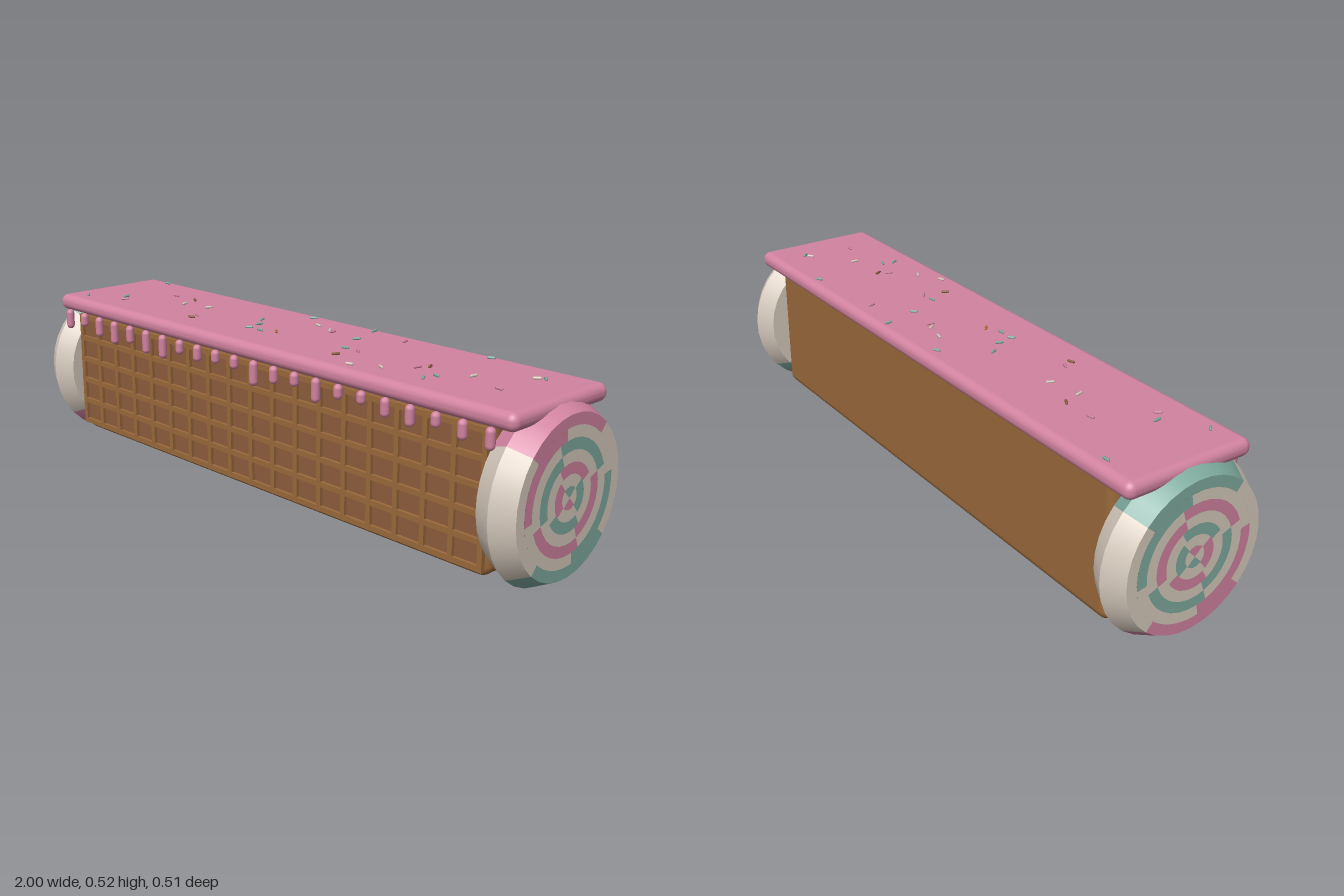
import * as THREE from 'three';
import { mergeGeometries } from 'three/addons/utils/BufferGeometryUtils.js';
import { RoundedBoxGeometry } from 'three/addons/geometries/RoundedBoxGeometry.js';

const material = (name, color) => {
  const m = new THREE.MeshStandardMaterial({ color });
  m.name = name;
  return m;
};

export function createModel() {
  const pink = material('pink icing', 0xd283a0);
  const cream = material('cream', 0xd6cabd);
  const teal = material('mint teal', 0x7fab9f);
  const biscuit = material('biscuit', 0x99693b);
  const waffle = material('waffle recess', 0x8c5c3c);
  const gold = material('caramel', 0xb0762f);

  const model = new THREE.Group();
  const add = (parent, name, geometry, mat, x = 0, y = 0, z = 0) => {
    const mesh = new THREE.Mesh(geometry, mat);
    mesh.name = name;
    mesh.position.set(x, y, z);
    parent.add(mesh);
    return mesh;
  };

  // Biscuit body with softened edges
  add(model, 'body', new RoundedBoxGeometry(1.76, 0.435, 0.35, 3, 0.03), biscuit, 0, 0.2625, 0);

  // Waffle front: thin recessed panel and a raised lattice
  add(model, 'wafflePanel', new THREE.BoxGeometry(1.74, 0.39, 0.006), waffle, 0, 0.262, 0.174);
  const bars = [];
  for (let i = 0; i < 19; i++) {
    bars.push(new THREE.BoxGeometry(0.016, 0.39, 0.014).translate(-0.868 + i * 1.736 / 18, 0.262, 0.18));
  }
  for (let j = 0; j < 6; j++) {
    bars.push(new THREE.BoxGeometry(1.752, 0.016, 0.014).translate(0, 0.076 + j * 0.0745, 0.1805));
  }
  add(model, 'waffleLattice', mergeGeometries(bars), biscuit);

  // Icing slab
  add(model, 'icing', new RoundedBoxGeometry(1.934, 0.052, 0.412, 4, 0.024), pink, 0, 0.489, 0);

  // Icing drips along the front edge
  const dripEnds = [0.405, 0.425, 0.405, 0.395, 0.412, 0.395, 0.395, 0.425, 0.418, 0.428, 0.428,
    0.395, 0.418, 0.428, 0.4, 0.428, 0.432, 0.416, 0.41, 0.428, 0.416, 0.41];
  dripEnds.forEach((end, i) => {
    const r = 0.0135, top = 0.472;
    add(model, 'drip', new THREE.CapsuleGeometry(r, top - end - 2 * r, 4, 10), pink,
      -0.9 + i * 1.8 / 21, (top + end) / 2, 0.209);
  });

  // Sprinkles scattered on the icing: x, z pairs
  const spots = [
    -0.84, -0.17, -0.87, 0.15, -0.76, 0.07, -0.73, 0.1, -0.65, -0.06, -0.55, -0.06, -0.53, 0,
    -0.43, -0.02, -0.36, 0.11, -0.37, 0.08, -0.18, -0.03, -0.14, 0.02, -0.08, -0.16, 0, -0.1,
    0.07, -0.08, 0.09, -0.07, -0.13, 0.07, -0.08, 0.07, -0.03, 0.05, 0.17, -0.17, 0.2, -0.06,
    0.25, 0.04, 0.3, 0.04, 0.32, -0.14, 0.28, 0.11, 0.38, 0.16, 0.46, 0.12, 0.55, 0.02,
    0.53, 0.05, 0.61, -0.17, 0.62, 0.08, 0.61, 0.12, 0.69, 0.01, 0.82, -0.09, 0.81, 0.06, 0.84, -0.1,
  ];
  const sprinkleColours = [teal, teal, teal, pink, pink, waffle, cream, cream, waffle, pink,
    teal, teal, teal, cream, cream, pink, teal, teal, gold];
  const sprinkle = new THREE.CapsuleGeometry(0.0042, 0.017, 2, 6).rotateZ(Math.PI / 2);
  for (let i = 0; i < spots.length / 2; i++) {
    const mesh = add(model, 'sprinkle', sprinkle, sprinkleColours[i % sprinkleColours.length],
      spots[2 * i], 0.5185, spots[2 * i + 1]);
    mesh.rotation.y = i * 2.4;
  }

  // One ring of an end disc, in four coloured quarters turned by startDeg
  const ring = (parent, name, r0, x0, r1, x1, startDeg) => {
    [pink, cream, teal, cream].forEach((mat, q) => {
      const points = [new THREE.Vector2(r0, x0), new THREE.Vector2(r1, x1)];
      const phi = THREE.MathUtils.degToRad(startDeg + 180 + q * 90);
      add(parent, name, new THREE.LatheGeometry(points, 8, phi, Math.PI / 2).rotateZ(-Math.PI / 2), mat);
    });
  };

  // Candy discs at both ends, the right-hand one turned over
  const swirl = [225, 130, 31, 290, 200, 99];
  for (const side of [1, -1]) {
    const disc = new THREE.Group();
    disc.name = side > 0 ? 'leftCandyDisc' : 'rightCandyDisc';
    disc.position.y = 0.258;
    disc.rotation.z = side > 0 ? 0 : Math.PI;
    ring(disc, 'discInnerFace', 0, 0.878, 0.225, 0.878, 49);
    ring(disc, 'discInnerBevel', 0.225, 0.878, 0.258, 0.938, 49);
    ring(disc, 'discOuterBevel', 0.258, 0.938, 0.225, 1, 49);
    ring(disc, 'discRim', 0.225, 1, 0.192, 1, 49);
    // swirl.indexing: quarters start with pink, then cream, teal, cream
    swirl.forEach((deg, i) => ring(disc, 'discSwirl', 0.032 * (i + 1), 1, 0.032 * i, 1, deg));
    model.add(disc);
  }
  return model;
}
